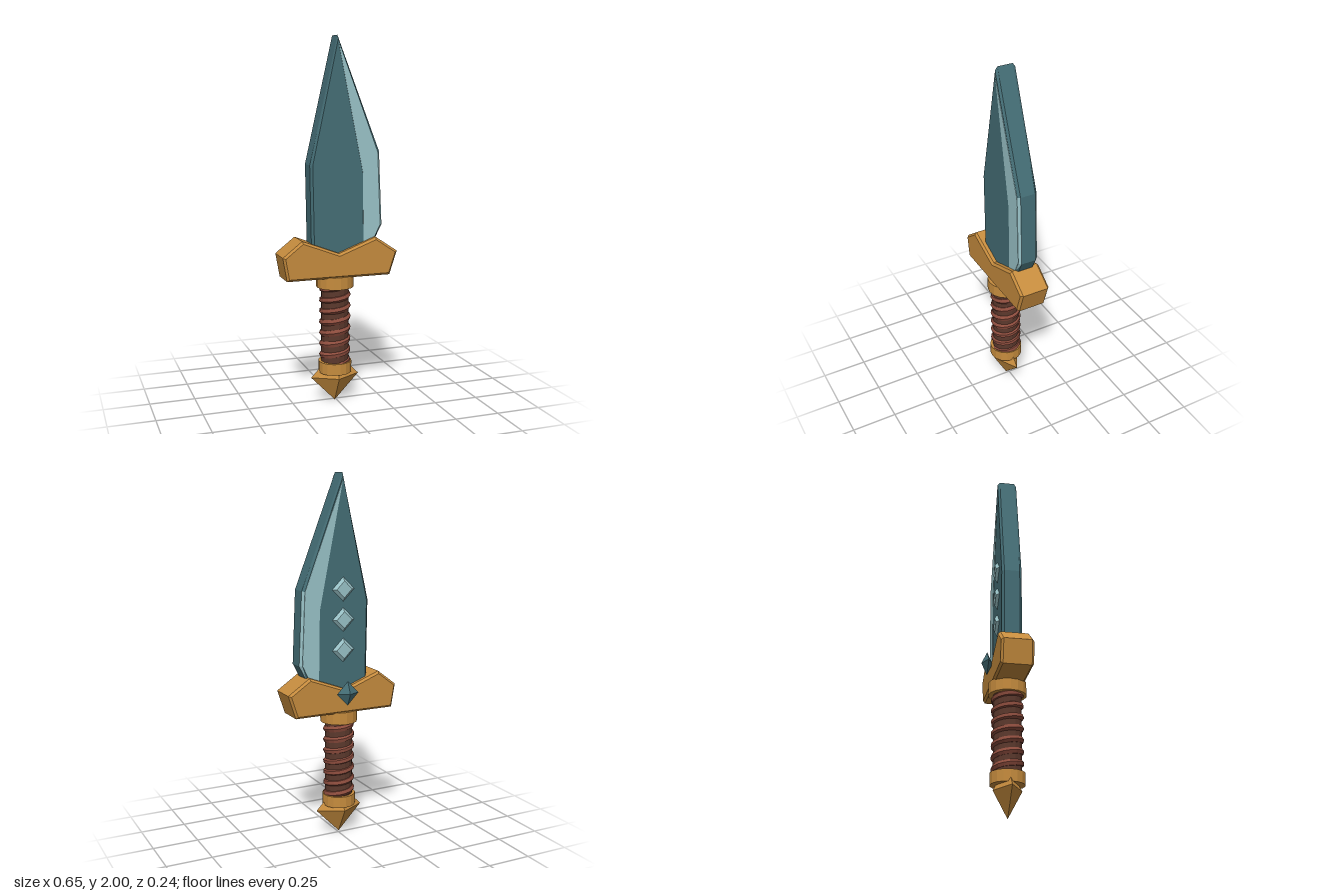
import * as THREE from 'three';

const CX = -0.01, CZ = 0.017; // axis of the grip

function material(name, color) {
  const m = new THREE.MeshStandardMaterial({ color, flatShading: true });
  m.name = name;
  return m;
}

// Prism with chamfered rims, outline kept at full size, centred on CZ
function chamferedPrism(points, halfDepth, bevel) {
  const shape = new THREE.Shape(points.map(([x, y]) => new THREE.Vector2(x, y)));
  const geo = new THREE.ExtrudeGeometry(shape, {
    depth: 2 * (halfDepth - bevel), bevelEnabled: bevel > 0, bevelSegments: 1,
    bevelThickness: bevel, bevelSize: bevel, bevelOffset: -bevel,
  });
  return geo.translate(0, 0, CZ - halfDepth + bevel);
}

export function createModel() {
  const root = new THREE.Group();
  root.name = 'dagger';
  const gold = material('gold', 0xc68c3e);
  const steel = material('dark steel', 0x456e76);
  const edge = material('pale edge', 0x9ac3c8);
  const leather = material('dark leather', 0x5c392d);
  const cord = material('red cord', 0x8c4c3d);

  const add = (name, geo, mat, x = 0, y = 0, z = 0) => {
    const mesh = new THREE.Mesh(geo, mat);
    mesh.name = name;
    mesh.position.set(x, y, z);
    root.add(mesh);
    return mesh;
  };

  // Blade: the chamfer along the lower cutting edge is pale
  const bladeHalf = 0.055;
  const blade = chamferedPrism([
    [CX, 2], [-0.164, 1.325], [-0.155, 0.8], [0.13, 0.8],
    [0.205, 0.91], [0.246, 0.99], [0.228, 1.39],
  ], bladeHalf, 0.013);
  const pos = blade.attributes.position;
  const tri = new THREE.Triangle(), n = new THREE.Vector3(), c = new THREE.Vector3();
  blade.clearGroups();
  for (let i = 0; i < pos.count; i += 3) {
    tri.setFromAttributeAndIndices(pos, i, i + 1, i + 2);
    tri.getNormal(n);
    tri.getMidpoint(c);
    const pale = c.x > 0.2 && c.y > 0.96 && c.y < 1.4 && Math.abs(n.z) > 0.2 && Math.abs(n.z) < 0.95;
    blade.addGroup(i, 3, pale ? 1 : 0);
  }
  add('blade', blade, [steel, edge]);

  // Pale cutting-edge faces on both sides of the blade
  const edgeShape = [
    [CX + 0.003, 1.96], [0.13, 1.28], [0.137, 0.84], [0.198, 0.92], [0.232, 0.993], [0.215, 1.386],
  ];
  add('cuttingEdge', chamferedPrism(edgeShape, bladeHalf + 0.002, 0), edge);

  // Raised diamond studs on the back of the blade
  for (const y of [1.39, 1.225, 1.06]) {
    const stud = new THREE.CylinderGeometry(0.045, 0.067, 0.016, 4);
    stud.rotateX(-Math.PI / 2);
    add('bladeStud', stud, edge, CX, y, CZ - bladeHalf - 0.007);
  }

  // Guard
  add('guard', chamferedPrism([
    [-0.325, 0.843], [-0.302, 0.713], [0.282, 0.713], [0.325, 0.843],
    [0.2, 0.927], [CX, 0.848], [-0.217, 0.927],
  ], 0.086, 0.012), gold);

  // Gem on the back of the guard
  const gem = new THREE.OctahedronGeometry(1);
  gem.scale(0.065, 0.067, 0.03);
  add('guardGem', gem, steel, CX, 0.83, -0.093);

  // Grip with collars
  add('upperCollar', new THREE.CylinderGeometry(0.102, 0.102, 0.068, 16), gold, CX, 0.686, CZ);
  add('lowerCollar', new THREE.CylinderGeometry(0.092, 0.092, 0.063, 16), gold, CX, 0.201, CZ);
  add('grip', new THREE.CylinderGeometry(0.076, 0.076, 0.46, 16), leather, CX, 0.44, CZ);

  // Cord wound round the grip
  const turns = 7, points = [];
  for (let i = 0; i <= turns * 16; i++) {
    const a = (i / 16) * Math.PI * 2;
    points.push(new THREE.Vector3(0.069 * Math.sin(a), 0.222 + 0.436 * i / (turns * 16), 0.069 * Math.cos(a)));
  }
  const helix = new THREE.CatmullRomCurve3(points);
  add('gripCord', new THREE.TubeGeometry(helix, turns * 16, 0.019, 6), cord, CX, 0, CZ);

  // Pommel: four-sided spike
  const pommel = new THREE.OctahedronGeometry(1);
  pommel.scale(0.138, 0.142, 0.076);
  add('pommel', pommel, gold, CX, 0.142, CZ);

  return root;
}
